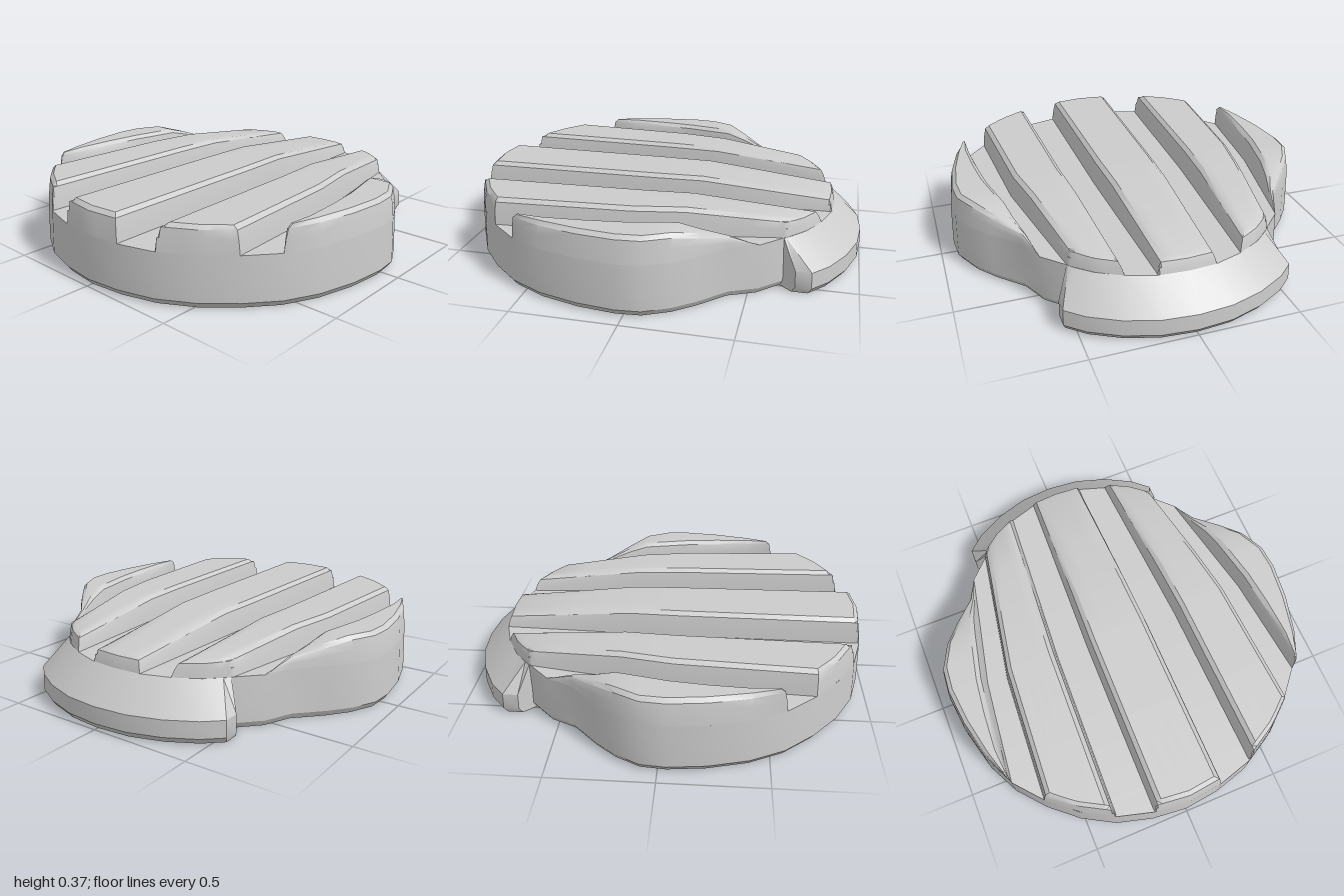
import * as THREE from 'three';
import { toCreasedNormals } from 'three/addons/utils/BufferGeometryUtils.js';

const FLOOR = 0.245; // groove floor height
const mat = new THREE.MeshStandardMaterial({ color: 0xcccccc });

// Plan outlines as x -> z, and the side lobe as z -> x
const FRONT = [[0, 0.99], [0.18, 0.97], [0.36, 0.92], [0.52, 0.83], [0.66, 0.71], [0.78, 0.57]];
const BACK = [[0, -0.865], [0.14, -0.855], [0.28, -0.81], [0.4, -0.745], [0.5, -0.655]];
const LOBE = [[-0.55, 0.6], [-0.42, 0.66], [-0.3, 0.78], [-0.2, 0.86], [-0.08, 0.92],
  [0.04, 0.93], [0.22, 0.91], [0.41, 0.86], [0.57, 0.78]];
// Hinge outline at the bottom, matching points on the body at the top
const HINGE = [[0.555, -0.71, 0.495, -0.66], [0.555, -0.785, 0.47, -0.685], [0.47, -0.86, 0.4, -0.745],
  [0.33, -0.935, 0.28, -0.81], [0.17, -0.985, 0.14, -0.855], [0, -1, 0, -0.865]];

// Linear lookup in a table sorted by its first column
function lookup(table, t) {
  if (t <= table[0][0]) return table[0][1];
  for (let i = 1; i < table.length; i++) {
    const [a, va] = table[i - 1], [b, vb] = table[i];
    if (t <= b) return va + (vb - va) * (t - a) / (b - a);
  }
  return table[table.length - 1][1];
}

function makeMesh(name, positions, index, crease) {
  const geo = new THREE.BufferGeometry();
  geo.setAttribute('position', new THREE.Float32BufferAttribute(positions, 3));
  geo.setIndex(index);
  const mesh = new THREE.Mesh(toCreasedNormals(geo, crease), mat);
  mesh.name = name;
  return mesh;
}

// Hollow base with the sloping hinge at the back, lofted through stacked outlines
function createBase() {
  const half = [
    ...FRONT.map(([x, z]) => [x, z, x, z]),
    ...LOBE.slice(0, -1).reverse().map(([z, x]) => [x, z, x, z]),
    [0.5, -0.65, 0.5, -0.65],
    ...HINGE,
  ];
  const last = half.length - 1;
  const ring = [...half, ...half.slice(1, last).reverse().map(([a, b, c, d]) => [-a, b, -c, d])];
  const n = ring.length;
  // height, scale, offset into the outline entry (0 bottom, 2 top)
  const levels = [[0.12, 0.955, 0], [0, 0.955, 0], [0, 0.978, 0], [0.03, 1, 0], [0.11, 0.997, 0], [FLOOR, 0.99, 2]];
  const pos = [], index = [];
  for (const [y, s, o] of levels) for (const p of ring) pos.push(p[o] * s, y, p[o + 1] * s);
  for (let k = 0; k < levels.length - 1; k++) {
    for (let i = 0; i < n; i++) {
      const a = k * n + i, b = k * n + (i + 1) % n;
      index.push(a, b, a + n, b, b + n, a + n);
    }
  }
  // caps: cavity ceiling (facing down) and groove floor (facing up)
  for (const [level, up] of [[0, false], [levels.length - 1, true]]) {
    for (let i = 0; i < last; i++) {
      const [a, b, c, d] = [i, i + 1, (n - i - 1) % n, (n - i) % n].map((j) => level * n + j);
      if (up) index.push(a, b, c, a, c, d);
      else index.push(a, c, b, a, d, c);
    }
  }
  return makeMesh('base', pos, index, 0.45);
}

// Rounded edge: distance in from the edge, and share of the full height
const BEVEL = [[0, 0], [0.008, 0.5], [0.018, 0.86], [0.04, 1]];

// A raised rib: a grid between two side edges and two ends, rounded along its border
function createRib(name, { inner, outer, front, back, knots, top }, side = 1) {
  const cols = [
    ...BEVEL.map(([d, h]) => ({ h, x: (a, b) => a + Math.min(d, (b - a) * d * 8) })),
    ...[0.33, 0.5, 0.67].map((u) => ({ h: 1, x: (a, b) => a + (b - a) * u })),
    ...[...BEVEL].reverse().map(([d, h]) => ({ h, x: (a, b) => b - Math.min(d, (b - a) * d * 8) })),
  ];
  const rows = [
    ...BEVEL.map(([d, h]) => ({ h, z: (x) => front(x) - d })),
    ...knots.map((k) => ({ h: 1, z: () => k })),
    ...[...BEVEL].reverse().map(([d, h]) => ({ h, z: (x) => back(x) + d })),
  ];
  const pos = [], index = [], n = cols.length;
  rows.forEach((row, r) => cols.forEach((col, c) => {
    let x = 0.5 * (inner(0) + outer(0)), z = 0;
    for (let i = 0; i < 8; i++) {
      z = row.z(Math.abs(x));
      x = col.x(inner(z), outer(z));
    }
    const y = FLOOR + Math.min(row.h, col.h) * (top(z) - FLOOR);
    pos.push(x * side * 0.99, y, z * 0.99);
    if (r && c) {
      const d = r * n + c, b = d - n, a = b - 1, e = d - 1;
      if (side > 0) index.push(a, b, e, b, d, e);
      else index.push(a, e, b, b, e, d);
    }
  }));
  return makeMesh(name, pos, index, 0.6);
}

export function createModel() {
  const model = new THREE.Group();
  model.name = 'ribbedShell';
  model.add(createBase());

  const edge = (table) => (z) => lookup(table, z);
  const ribTop = edge([[-0.84, 0.308], [-0.2, 0.37]]);
  const ends = { front: (x) => lookup(FRONT, x), back: (x) => lookup(BACK, x) };

  // Middle rib
  const centreEdge = edge([[-0.855, 0.14], [0.05, 0.17], [0.97, 0.18]]);
  model.add(createRib('centreRib', {
    ...ends, inner: (z) => -centreEdge(z), outer: centreEdge, knots: [0.5, 0.05, -0.2, -0.5], top: ribTop,
  }));

  // Mirrored ribs and side lobes
  for (const [label, side] of [['left', 1], ['right', -1]]) {
    model.add(createRib(label + 'Rib', {
      ...ends,
      inner: edge([[-0.81, 0.28], [0.05, 0.335], [0.92, 0.36]]),
      outer: edge([[-0.65, 0.5], [0.05, 0.62], [0.71, 0.66]]),
      knots: [0.5, 0.05, -0.2, -0.5], top: ribTop,
    }, side));
    model.add(createRib(label + 'Lobe', {
      inner: edge([[-0.55, 0.6], [0.05, 0.725], [0.57, 0.78]]),
      outer: edge(LOBE),
      front: () => 0.57, back: () => -0.55,
      knots: [0.41, 0.22, 0.04, -0.08, -0.2, -0.3, -0.42],
      top: edge([[-0.55, 0.25], [-0.48, 0.265], [-0.38, 0.315], [-0.2, 0.37]]),
    }, side));
  }
  return model;
}
